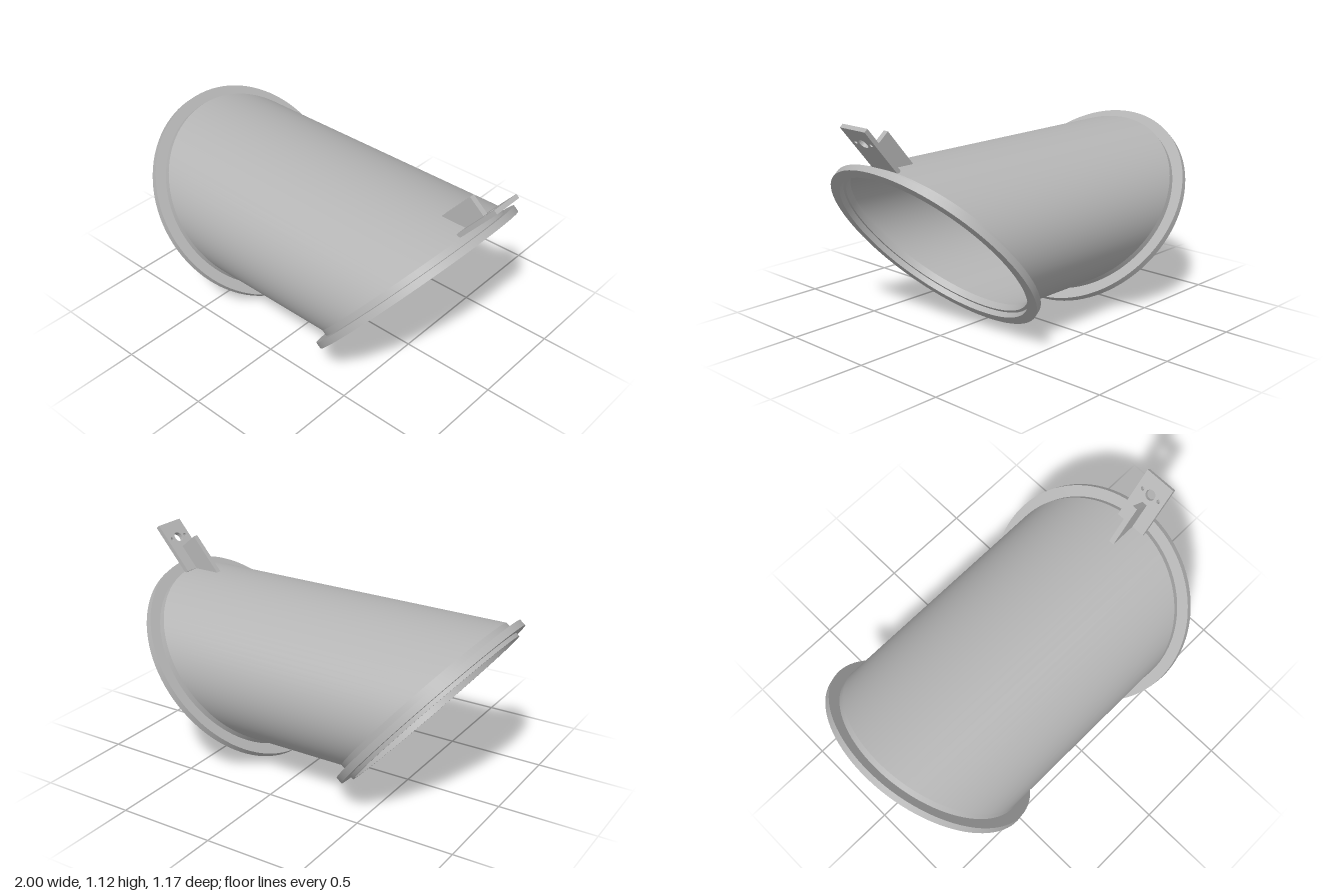
import * as THREE from 'three';
import { toCreasedNormals } from 'three/addons/utils/BufferGeometryUtils.js';

const SEGMENTS = 96;
const TILT = THREE.MathUtils.degToRad(50);
const COS = Math.cos(TILT), SIN = Math.sin(TILT);
const OUTER = 0.527, INNER = 0.517;   // pipe wall radii
const COLLAR = 0.05;                  // collar depth behind the flange centre
const RIGHT_X = -0.611, LEFT_X = 0.53, CENTRE_Y = 0.46;

export function createModel() {
  const model = new THREE.Group();
  model.name = 'slantedPipe';
  const metal = new THREE.MeshStandardMaterial({ color: 0xb4b4b4 });
  metal.name = 'grey metal';

  function add(parent, name, geometry) {
    const mesh = new THREE.Mesh(toCreasedNormals(geometry, 0.5), metal);
    mesh.name = name;
    parent.add(mesh);
    return mesh;
  }

  // Tilted frame for one end: local x runs up the slope, local y points out of the opening
  function endFrame(name, x) {
    const side = Math.sign(x);
    const group = new THREE.Group();
    group.name = name;
    const up = new THREE.Vector3(side * COS, SIN, 0);
    const out = new THREE.Vector3(side * SIN, -COS, 0);
    const across = new THREE.Vector3().crossVectors(up, out);
    group.quaternion.setFromRotationMatrix(new THREE.Matrix4().makeBasis(up, out, across));
    group.position.set(x, CENTRE_Y, 0);
    model.add(group);
    return group;
  }

  const lathe = (points) =>
    new THREE.LatheGeometry(points.map(([r, y]) => new THREE.Vector2(r, y)), SEGMENTS);

  // Horizontal pipe wall: a cylinder sheared so that both ends are slanted circles
  function pipeWall(radius, inward) {
    const geometry = new THREE.CylinderGeometry(1, 1, 1, SEGMENTS, 1, true);
    const p = geometry.attributes.position;
    for (let i = 0; i < p.count; i++) {
      const left = p.getY(i) > 0;
      const a = radius * (inward ? p.getX(i) : p.getZ(i));
      const b = radius * (inward ? p.getZ(i) : p.getX(i));
      const x = left ? LEFT_X - COLLAR * SIN + a * COS : RIGHT_X + COLLAR * SIN - a * COS;
      p.setXYZ(i, x, CENTRE_Y + COLLAR * COS + a * SIN, b);
    }
    return geometry;
  }
  add(model, 'pipeOuterWall', pipeWall(OUTER, false));
  add(model, 'pipeInnerWall', pipeWall(INNER, true));

  // Flanges: the left one has a recessed socket, the right one a raised lip
  const flangeBack = [[OUTER, -COLLAR], [OUTER, -0.0175], [0.585, -0.0175], [0.585, 0.0175]];
  const leftEnd = endFrame('leftEnd', LEFT_X);
  add(leftEnd, 'socketFlange', lathe([...flangeBack,
    [0.533, 0.0175], [0.533, -0.013], [INNER, -0.013], [INNER, -COLLAR]]));
  const rightEnd = endFrame('rightEnd', RIGHT_X);
  add(rightEnd, 'lipFlange', lathe([...flangeBack,
    [0.53, 0.0175], [0.53, 0.038], [INNER, 0.038], [INNER, -COLLAR]]));

  // Mounting plate with one large and two small holes
  const plate = new THREE.Shape();
  plate.moveTo(0.51, -0.084).lineTo(0.795, -0.084).lineTo(0.795, 0.084).lineTo(0.51, 0.084).closePath();
  for (const [z, r] of [[0, 0.027], [-0.052, 0.01], [0.052, 0.01]]) {
    plate.holes.push(new THREE.Path().absarc(0.702, z, r, 0, Math.PI * 2, true));
  }
  const plateGeometry = new THREE.ExtrudeGeometry(plate, { depth: 0.022, bevelEnabled: false, curveSegments: 24 });
  add(leftEnd, 'mountingPlate', plateGeometry.rotateX(-Math.PI / 2)).position.y = -0.074;

  // Gusset bracing the plate against the pipe
  const gusset = new THREE.Shape();
  gusset.moveTo(0.412, -0.178).lineTo(0.503, -0.07).lineTo(0.647, -0.07).lineTo(0.647, -0.178).closePath();
  add(leftEnd, 'plateGusset', new THREE.ExtrudeGeometry(gusset, { depth: 0.028, bevelEnabled: false }))
    .position.z = -0.014;

  return model;
}
